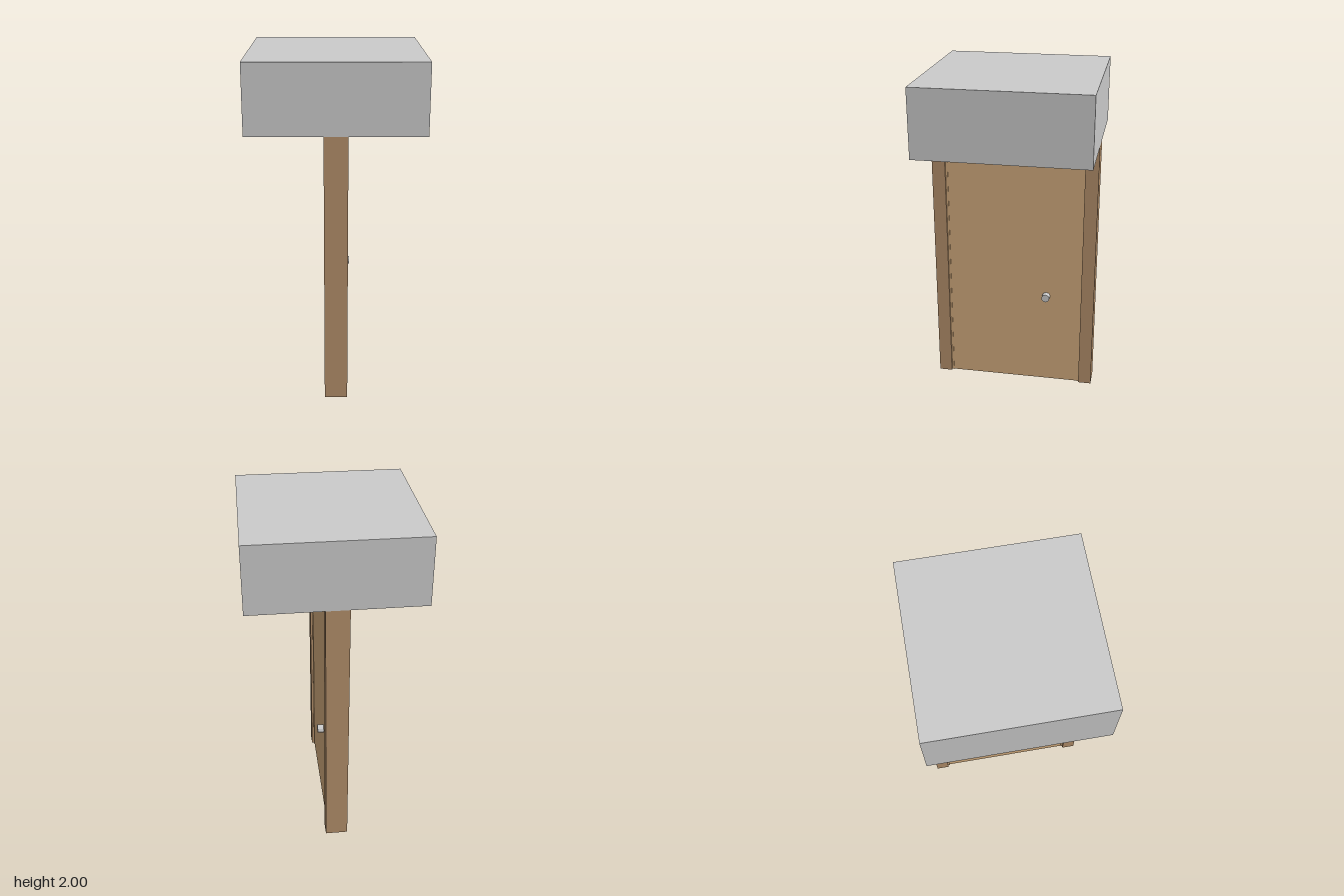
import * as THREE from 'three';

export function createModel() {
  const model = new THREE.Group();
  const material = (color) => new THREE.MeshStandardMaterial({ color, flatShading: true });
  const grey = material(0xcccccc);
  const frameWood = material(0xb4906b);
  const doorWood = material(0xd3ac7e);

  const box = (name, mat, size, position) => {
    const mesh = new THREE.Mesh(new THREE.BoxGeometry(...size), mat);
    mesh.name = name;
    mesh.position.set(...position);
    model.add(mesh);
  };

  // Block above the doorway
  box('lintelBlock', grey, [1, 0.4, 1], [0, 1.8, 0]);

  // Door panel, recessed on both faces
  box('doorPanel', doorWood, [0.1, 1.6, 0.84], [0, 0.8, 0]);

  // Posts with a thin stop strip along their inner edge
  for (const side of [1, -1]) {
    const end = side > 0 ? 'front' : 'back';
    box(end + 'Post', frameWood, [0.134, 1.6, 0.08], [0, 0.8, side * 0.46]);
    box(end + 'DoorStop', doorWood, [0.108, 1.6, 0.012], [0, 0.8, side * 0.414]);
  }

  // Round knob on the left face
  const knob = new THREE.Mesh(new THREE.CylinderGeometry(0.025, 0.025, 0.04, 12), grey);
  knob.name = 'doorKnob';
  knob.rotation.z = -Math.PI / 2;
  knob.position.set(0.067, 0.6, -0.2);
  model.add(knob);

  return model;
}
